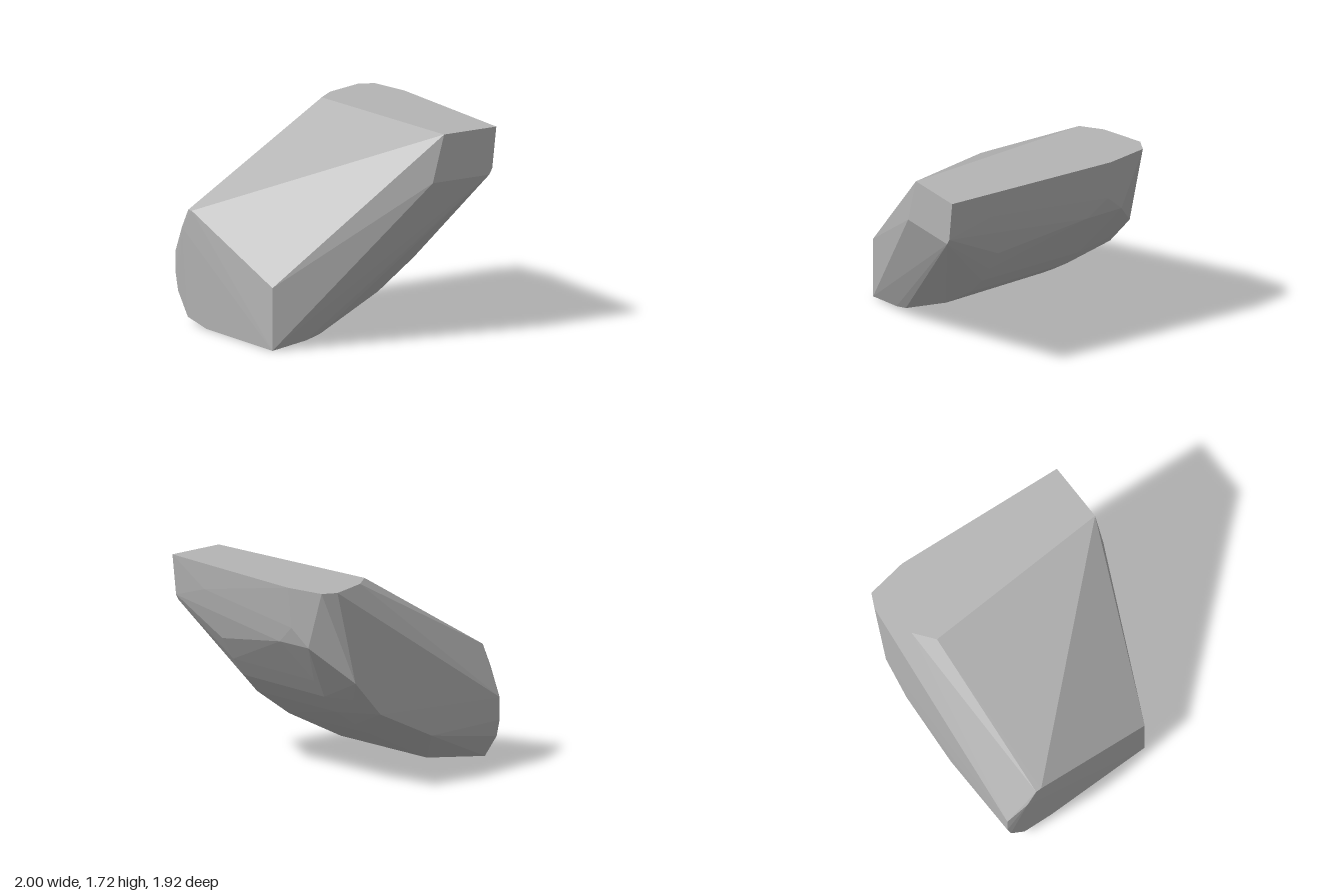
import * as THREE from 'three';
import { ConvexGeometry } from 'three/addons/geometries/ConvexGeometry.js';

// Faceted convex boulder, described as rings of corner points [x, y, z]
const TOP = 1.72, FRONT = 0.96, SLOPE = 0.45;

// flat top outline: [x, z]
const topOutline = [[0.38, FRONT], [0.89, FRONT], [1, -0.53], [0.95, -0.88], [0.83, -0.94], [0.48, -0.83], [0.31, -0.7]];

// small upright front face: [x, y]
const frontFace = [[0.85, 1.38], [0.82, 1.33], [0.27, 1.33]];

// curved underside where it meets the sloping front: [x, y]
const frontKeel = [[-0.95, 0], [-0.62, 0.045], [-0.49, 0.08], [0.08, 0.36], [0.43, 0.6], [0.58, 0.76], [0.69, 0.91], [0.81, 1.1]];

// narrow end
const endFace = [
  [-0.95, 0.52, 0.45], [-1, 0.96, -0.64], [-1, 0.96, -0.69], [-1, 0.8, -0.78],
  [-0.95, 0.57, -0.945], [-0.95, 0.38, -0.945], [-0.95, 0.24, -0.91], [-0.95, 0.05, -0.77], [-0.95, 0, -0.5],
];

// underside towards the back
const rearKeel = [
  [-0.49, 0.08, -0.5], [-0.45, 0.09, -0.62], [0.08, 0.36, -0.5], [0.23, 0.455, -0.5], [0.43, 0.59, -0.5],
  [0.57, 0.74, -0.5], [0.53, 0.76, -0.8], [0.68, 0.89, -0.5], [0.92, 1.23, -0.35], [0.92, 1.23, -0.69],
];

// back wall and right-hand bulge
const backWall = [[-0.2, 0.37, -0.95], [0.375, 0.64, -0.96], [0.65, 0.94, -0.96]];
const sideBulge = [[0.96, 1.38, -0.53], [0.9, 1.5, 0.57]];

export function createModel() {
  const stone = new THREE.MeshStandardMaterial({ color: 0xb4b4b4 });
  stone.name = 'grey stone';

  const corners = [
    ...topOutline.map(([x, z]) => [x, TOP, z]),
    ...frontFace.map(([x, y]) => [x, y, FRONT]),
    ...frontKeel.map(([x, y]) => [x, y, SLOPE]),
    ...endFace, ...rearKeel, ...backWall, ...sideBulge,
  ].map((p) => new THREE.Vector3(...p));

  const boulder = new THREE.Mesh(new ConvexGeometry(corners), stone);
  boulder.name = 'boulder';

  const group = new THREE.Group();
  group.name = 'facetedRock';
  group.add(boulder);
  return group;
}
